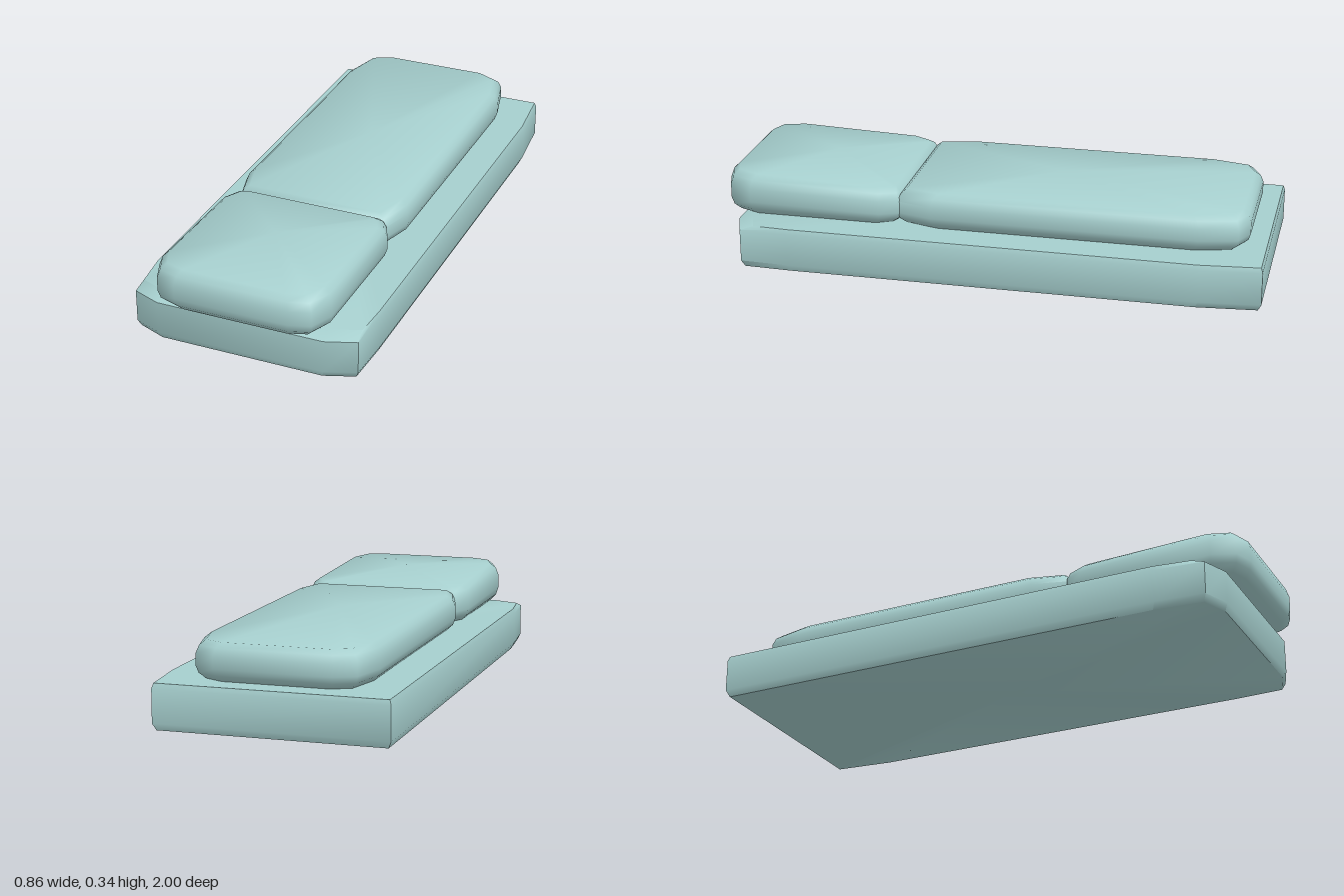
import * as THREE from 'three';
import { toCreasedNormals } from 'three/addons/utils/BufferGeometryUtils.js';

const material = new THREE.MeshStandardMaterial({ color: 0xa6cfce });

// Soft slab: an [x, z] outline stacked in loops from bottom to top, closed by
// shallow domes. Each ring is [inset, y, extra inset of the front edge].
function softSlab(name, outline, rings, { bottomY, topY, peakZ, tilt = () => 0, crease = 1.2 }) {
  const n = outline.length;
  const zs = outline.map((p) => p[1]);
  const zMin = Math.min(...zs), zMax = Math.max(...zs);
  const midZ = (zMin + zMax) / 2, halfZ = (zMax - zMin) / 2;
  const halfX = Math.max(...outline.map((p) => Math.abs(p[0])));
  const positions = [], index = [];

  rings.forEach(([inset, y, front = 0], level) => {
    for (const [x, z] of outline) {
      const px = x * (1 - inset / halfX);
      let pz = midZ + (z - midZ) * (1 - inset / halfZ);
      if (z > midZ + halfZ * 0.9) pz -= front;
      const lift = tilt(z) * level / (rings.length - 1);
      positions.push(px, y + lift, pz);
    }
  });
  for (let r = 0; r < rings.length - 1; r++) {
    for (let i = 0; i < n; i++) {
      const a = r * n + i, b = r * n + (i + 1) % n;
      index.push(a, a + n, b, b, a + n, b + n);
    }
  }
  // Domed caps
  const bottom = rings.length * n, top = bottom + 1, last = (rings.length - 1) * n;
  positions.push(0, bottomY, midZ, 0, topY, peakZ);
  for (let i = 0; i < n; i++) {
    const j = (i + 1) % n;
    index.push(bottom, i, j, top, last + j, last + i);
  }
  const geometry = new THREE.BufferGeometry();
  geometry.setAttribute('position', new THREE.Float32BufferAttribute(positions, 3));
  geometry.setIndex(index);
  const mesh = new THREE.Mesh(toCreasedNormals(geometry, crease), material);
  mesh.name = name;
  return mesh;
}

// Full outline from its right half, listed from back to front
const mirrored = (half) => [...half, ...half.map(([x, z]) => [-x, z]).reverse()];

export function createModel() {
  const group = new THREE.Group();
  group.name = 'paddedSlab';

  // Base: square at the back, clipped corners at the front
  group.add(softSlab('base',
    [[-0.43, -1], [0.405, -1], [0.427, -0.78], [0.427, 0.72], [0.42, 0.9],
      [0.31, 0.94], [-0.31, 0.94], [-0.413, 0.9], [-0.43, 0.72]],
    [[0.012, 0.005], [0, 0.03], [0, 0.15], [0.006, 0.168, 0.045]],
    { bottomY: 0, topY: 0.17, peakZ: 0, crease: 1.1 }));

  // Long cushion, gently crowned
  group.add(softSlab('longCushion',
    mirrored([[0.21, -0.935], [0.285, -0.9], [0.32, -0.76], [0.32, 0.21], [0.283, 0.34]]),
    [[0.03, 0.168], [0.008, 0.19], [0, 0.215], [0, 0.258], [0.01, 0.285], [0.03, 0.302]],
    { bottomY: 0.168, topY: 0.32, peakZ: -0.22 }));

  // Head cushion, rising toward the front
  group.add(softSlab('headCushion',
    mirrored([[0.27, 0.325], [0.29, 0.335], [0.32, 0.4], [0.32, 0.89], [0.285, 0.975], [0.21, 1]]),
    [[0.03, 0.17], [0.008, 0.19], [0, 0.215], [0, 0.262], [0.01, 0.289], [0.03, 0.304]],
    { bottomY: 0.17, topY: 0.34, peakZ: 0.64, tilt: (z) => 0.022 * (z - 0.33) / 0.67 }));

  return group;
}
